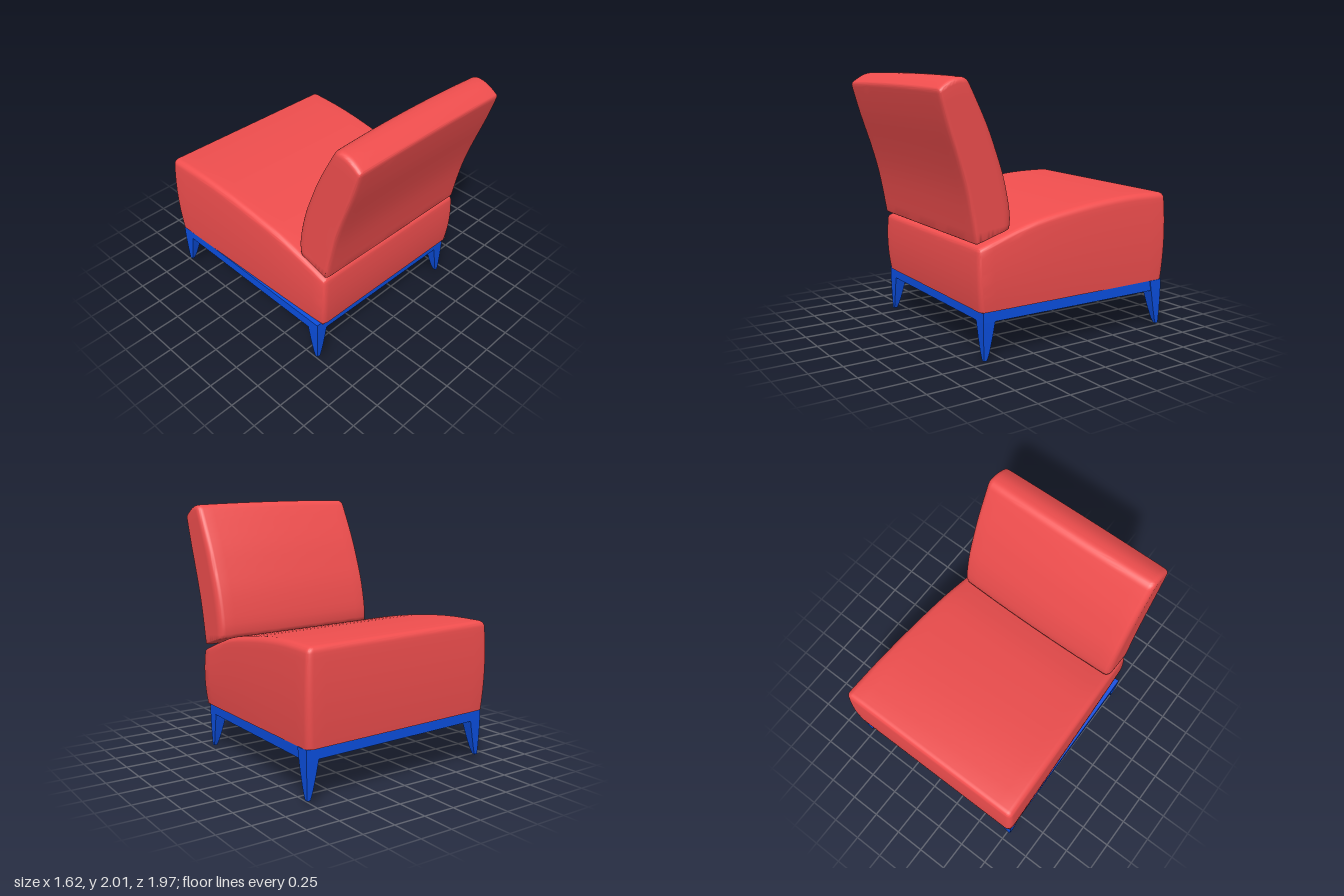
import * as THREE from 'three';
import { mergeVertices, toCreasedNormals } from 'three/addons/utils/BufferGeometryUtils.js';

const red = new THREE.MeshStandardMaterial({ color: 0xf04e4e, side: THREE.DoubleSide });
const blue = new THREE.MeshStandardMaterial({ color: 0x0b4fe0, flatShading: true });

// Height of the slightly sloping plane where the frame meets the seat
const deckY = (x, z) => 0.388 - 0.024 * x - 0.0227 * z;

// Moves every vertex of a geometry by a rule
function warp(geo, rule) {
  const p = geo.attributes.position;
  const v = new THREE.Vector3();
  for (let i = 0; i < p.count; i++) {
    rule(v.fromBufferAttribute(p, i));
    p.setXYZ(i, v.x, v.y, v.z);
  }
  return geo;
}

// Soft box with half sizes and a radius for the low and high side of each axis,
// shaped by a rule that receives points in the box's own space
function cushion(half, radii, openBottom, rule) {
  let geo = new THREE.BoxGeometry(2, 2, 2, 24, 24, 24);
  const bottom = geo.groups[3];
  if (openBottom) {
    const index = Array.from(geo.index.array);
    index.splice(bottom.start, bottom.count);
    geo.setIndex(index);
  }
  geo.clearGroups();
  geo.deleteAttribute('uv');
  geo.deleteAttribute('normal');
  const flat = 2 / 3;
  warp(geo, (v) => {
    const inner = [], d = [], rad = [];
    v.toArray().forEach((t, k) => {
      const r = radii[k][t < 0 ? 0 : 1], a = Math.abs(t), s = Math.sign(t);
      inner[k] = s * (half[k] - r) * Math.min(a / flat, 1);
      d[k] = r > 0 ? s * Math.max(0, (a - flat) / (1 - flat)) : 0;
      rad[k] = r;
    });
    // project the outer shell of the cube onto an ellipsoidal edge
    const len = Math.hypot(...d);
    const max = Math.max(...d.map(Math.abs));
    const f = len > 1e-6 ? max / len : 0;
    v.fromArray(inner.map((c, k) => c + d[k] * f * rad[k]));
    rule(v);
  });
  geo = mergeVertices(geo, 1e-5);
  return toCreasedNormals(geo, 0.9);
}

function add(group, name, geo, mat) {
  const mesh = new THREE.Mesh(geo, mat);
  mesh.name = name;
  group.add(mesh);
}

const curve = (pts) => new THREE.SplineCurve(pts.map(([a, b]) => new THREE.Vector2(a, b)));

function polygon(points, Type) {
  return new Type(points.map(([x, z]) => new THREE.Vector2(x, -z)));
}

export function createModel() {
  const model = new THREE.Group();
  model.name = 'loungeChair';

  // Seat: a wedge that rises and widens away from the backrest, hollow below
  const seatTop = curve([
    [0.69, 0.825], [0.42, 0.92], [0.2, 0.988], [-0.05, 1.035],
    [-0.35, 1.077], [-0.65, 1.1], [-0.97, 1.1],
  ]);
  const seat = cushion([1, 0.3, 0.82], [[0.06, 0.06], [0, 0.04], [0.055, 0.03]], true, (v) => {
    const u = (0.82 - v.z) / 1.64, h = (v.y + 0.3) / 0.6;
    const bulge = 0.014 * (1 - (2 * h - 1) ** 2);
    const zTop = seatTop.getPoint(u);
    const x = v.x * (0.727 + 0.073 * Math.pow(u, 0.85) + bulge);
    const zBase = 0.675 - 1.64 * u;
    const z = zBase + (zTop.x - zBase) * h + bulge * (1 - 2 * u);
    const y0 = deckY(x, z);
    v.set(x, y0 + (zTop.y - 0.024 * x - y0) * h, z);
  });
  add(model, 'seatCushion', seat, red);

  // Backrest: leaning slab between a bowed front curve and a hollow rear curve
  const front = curve([
    [0.405, 0.94], [0.4, 1.05], [0.445, 1.28], [0.515, 1.49], [0.6, 1.7], [0.75, 1.995],
  ]);
  const rear = curve([
    [0.7, 0.85], [0.745, 1.09], [0.785, 1.26], [0.84, 1.44], [0.925, 1.69], [0.99, 1.915],
  ]);
  const back = cushion([0.724, 0.55, 0.14], [[0.045, 0.045], [0.025, 0.045], [0.06, 0.015]], false, (v) => {
    const t = (v.y + 0.55) / 1.1, w = (v.z + 0.14) / 0.28;
    const a = front.getPoint(t), b = rear.getPoint(t);
    const crown = (v.x / 0.72) ** 2;
    const y = a.y + (b.y - a.y) * w - 0.01 * t * crown + 0.03 * t * Math.sin(Math.PI * w);
    v.set(v.x + 0.006 * (2 * t - 1), y - 0.024 * v.x, a.x + (b.x - a.x) * w + 0.015 * crown * (1 - w));
  });
  add(model, 'backrest', back, red);

  // Frame: open ring of rails under the seat
  const corners = [[-0.77, 0.65], [0.712, 0.65], [0.8, -0.945], [-0.79, -0.945]];
  const inset = (s) => corners.map(([x, z]) => [x - Math.sign(x) * s, z - Math.sign(z) * s]);
  const ring = polygon(corners, THREE.Shape);
  ring.holes.push(polygon(inset(0.075), THREE.Path));
  const rails = new THREE.ExtrudeGeometry(ring, { depth: 0.08, bevelEnabled: false });
  rails.rotateX(-Math.PI / 2);
  warp(rails, (v) => { v.y += deckY(v.x, v.z) - 0.08; });
  rails.computeVertexNormals();
  add(model, 'frameRails', rails, blue);

  // Lip of upholstery with cut corners, resting on the rails
  const lipShape = polygon([[-0.73, 0.67], [0.73, 0.67], [0.79, -0.955], [-0.79, -0.955]], THREE.Shape);
  const cut = 0.11;
  const hole = inset(0.07).flatMap(([x, z], i) => {
    const alongX = [x - Math.sign(x) * cut, z], alongZ = [x, z - Math.sign(z) * cut];
    return i % 2 ? [alongX, alongZ] : [alongZ, alongX];
  });
  lipShape.holes.push(polygon(hole, THREE.Path));
  const lip = new THREE.ShapeGeometry(lipShape).rotateX(-Math.PI / 2);
  warp(lip, (v) => { v.y += deckY(v.x, v.z) + 0.003; });
  lip.computeVertexNormals();
  add(model, 'seatLip', lip, red);

  // Legs: straight outside, curving in to a narrow foot on the inner sides
  const legHeight = 0.357;
  for (const [cx, cz] of corners) {
    const sx = Math.sign(cx), sz = Math.sign(cz);
    const leg = new THREE.BoxGeometry(1, 1, 1, 1, 10, 1);
    warp(leg, (v) => {
      const t = v.y + 0.5;
      const outer = 0.01 * (1 - t) ** 2;
      const inner = 0.036 + 0.076 * Math.pow(t, 0.8);
      const x = cx - sx * (v.x * sx > 0 ? outer : inner);
      const z = cz - sz * (v.z * sz > 0 ? outer : inner);
      v.set(x, deckY(cx, cz) - 0.002 - legHeight * (1 - t), z);
    });
    leg.computeVertexNormals();
    add(model, (sz > 0 ? 'back' : 'front') + (sx > 0 ? 'Left' : 'Right') + 'Leg', leg, blue);
  }

  // Stand the chair on the ground
  const box = new THREE.Box3().setFromObject(model);
  model.children.forEach((m) => m.geometry.translate(0, -box.min.y, 0));
  return model;
}
